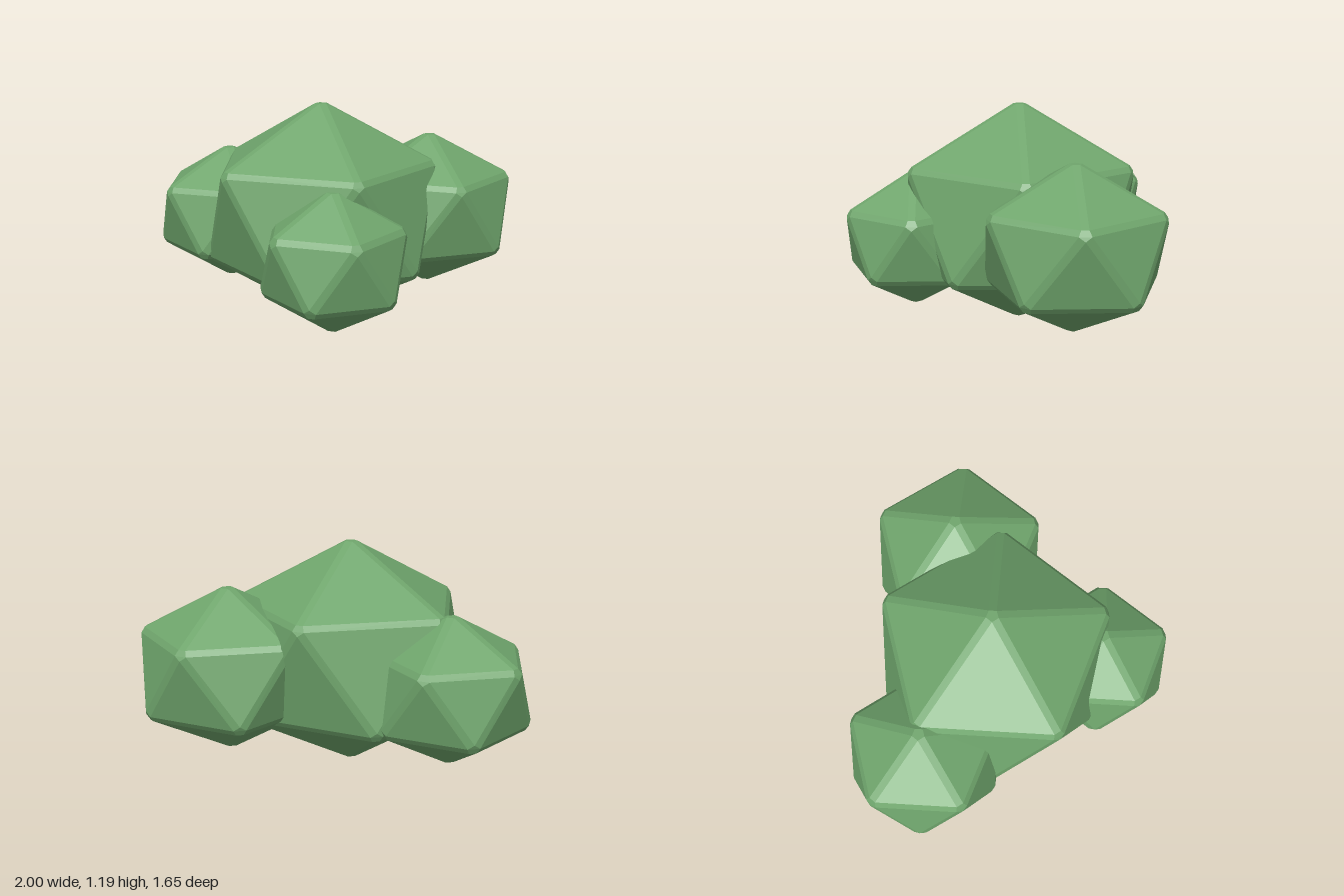
import * as THREE from 'three';
import { ConvexGeometry } from 'three/addons/geometries/ConvexGeometry.js';

const BEVEL = 0.02;

// Squashed icosahedron standing on a point, with narrow bevels along its edges
function clumpGeometry(radius, halfHeight) {
  const ring = (y, offset) => Array.from({ length: 5 }, (_, i) => {
    const a = (i + offset) * Math.PI * 2 / 5;
    const r = radius * 2 / Math.sqrt(5);
    return new THREE.Vector3(Math.cos(a) * r, y, Math.sin(a) * r);
  });
  const upper = ring(halfHeight / Math.sqrt(5), 0);
  const lower = ring(-halfHeight / Math.sqrt(5), 0.5);
  const top = new THREE.Vector3(0, halfHeight, 0);
  const bottom = new THREE.Vector3(0, -halfHeight, 0);

  const faces = [];
  for (let i = 0; i < 5; i++) {
    const j = (i + 1) % 5;
    faces.push(
      [top, upper[i], upper[j]],
      [upper[i], upper[j], lower[i]],
      [lower[i], lower[j], upper[j]],
      [bottom, lower[i], lower[j]]
    );
  }

  // Shrink every face in its own plane; the hull closes the bevels between them
  const points = [];
  for (const face of faces) {
    const centre = new THREE.Vector3();
    face.forEach((v) => centre.addScaledVector(v, 1 / 3));
    face.forEach((v) => points.push(v.clone().lerp(centre, 2 * BEVEL / v.distanceTo(centre))));
  }
  return new ConvexGeometry(points);
}

export function createModel() {
  const model = new THREE.Group();
  model.name = 'bush';
  const leaves = new THREE.MeshStandardMaterial({ color: 0x6fa56c, flatShading: true });

  // name, radius, half height, centre
  const clumps = [
    ['mainClump', 0.708, 0.617, [-0.065, 0.595, -0.1]],
    ['leftClump', 0.525, 0.447, [0.54, 0.555, -0.34]],
    ['rightClump', 0.46, 0.4, [-0.6, 0.51, -0.44]],
    ['frontClump', 0.422, 0.382, [0, 0.47, 0.47]],
  ];
  for (const [name, radius, halfHeight, centre] of clumps) {
    const mesh = new THREE.Mesh(clumpGeometry(radius, halfHeight), leaves);
    mesh.name = name;
    mesh.position.set(...centre);
    model.add(mesh);
  }
  return model;
}
